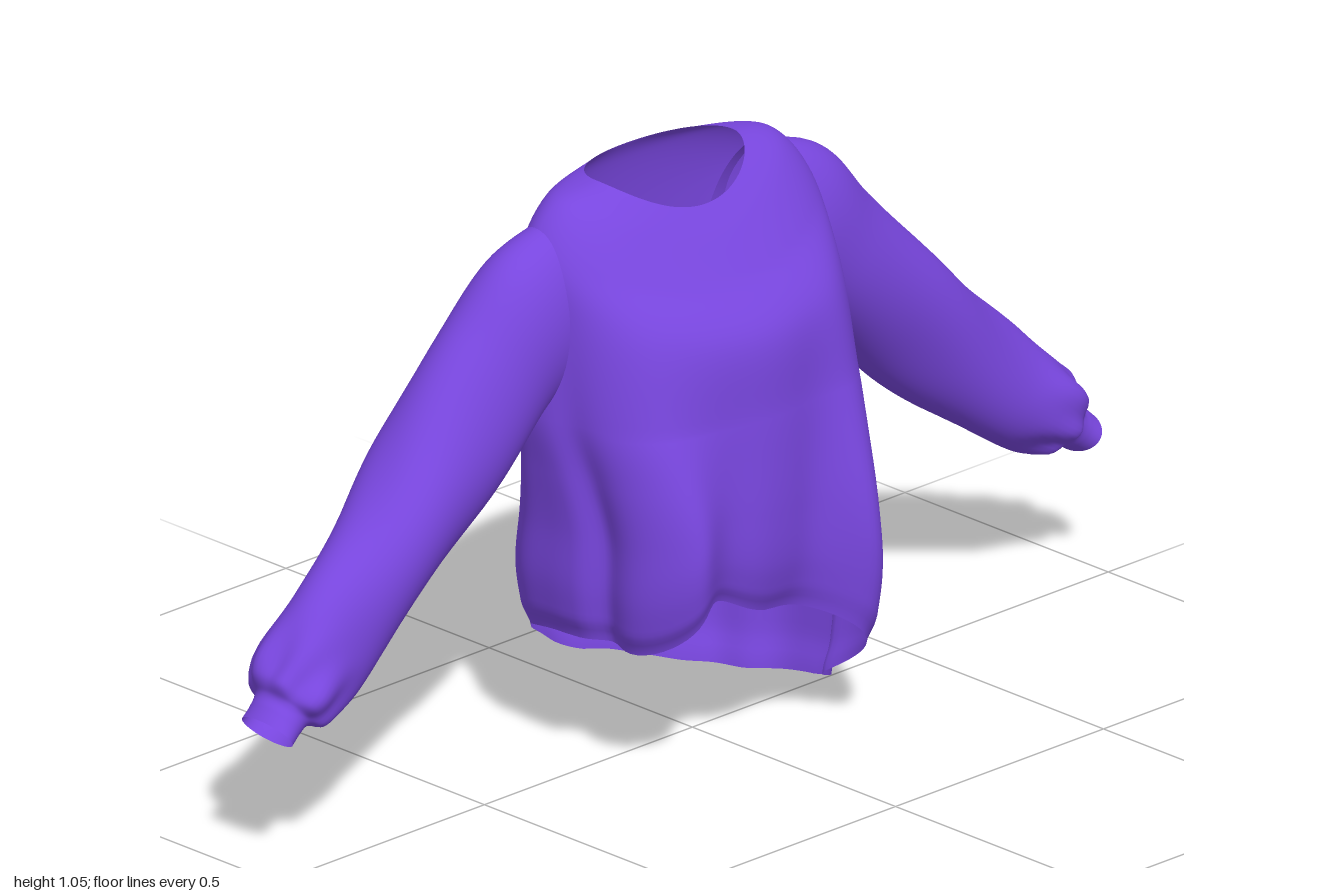
import * as THREE from 'three';

const fabric = new THREE.MeshStandardMaterial({ color: 0x7846de, side: THREE.DoubleSide });
const TAU = Math.PI * 2;
const { lerp, clamp, smoothstep } = THREE.MathUtils;

// Smooth interpolation through rows of numbers, t from 0 to 1
function sample(rows, t) {
  const f = clamp(t, 0, 1) * (rows.length - 1);
  const i = Math.min(Math.floor(f), rows.length - 2), k = f - i;
  const p0 = rows[Math.max(i - 1, 0)], p1 = rows[i], p2 = rows[i + 1], p3 = rows[Math.min(i + 2, rows.length - 1)];
  return p1.map((b, n) => {
    const a = p0[n], c = p2[n], d = p3[n];
    return b + 0.5 * k * (c - a + k * (2 * a - 5 * b + 4 * c - d + k * (3 * (b - c) + d - a)));
  });
}

// Soft bump around an angle (degrees)
function bump(angle, centre, width) {
  const d = angle - centre * TAU / 360;
  return Math.exp(-Math.pow(Math.atan2(Math.sin(d), Math.cos(d)) / (width * TAU / 360), 2));
}

// Open tube closed around u, running along v
function loft(point, around, along) {
  const pos = [], index = [];
  for (let j = 0; j <= along; j++)
    for (let i = 0; i < around; i++) pos.push(...point(i / around, j / along));
  for (let j = 0; j < along; j++)
    for (let i = 0; i < around; i++) {
      const n = (i + 1) % around, a = j * around + i, b = a + around, c = j * around + n, d = c + around;
      index.push(a, b, c, c, b, d);
    }
  const g = new THREE.BufferGeometry();
  g.setAttribute('position', new THREE.Float32BufferAttribute(pos, 3));
  g.setIndex(index);
  g.computeVertexNormals();
  return g;
}

// Body rows: half width, side y, side z, front y, front z, back y, back z
const bodyRows = [
  [0.165, 1.045, -0.07, 0.985, 0.035, 1.035, -0.17],
  [0.255, 1.025, -0.075, 0.945, 0.07, 1.0, -0.185],
  [0.315, 0.95, -0.075, 0.875, 0.125, 0.92, -0.197],
  [0.328, 0.84, -0.065, 0.785, 0.195, 0.8, -0.207],
  [0.335, 0.66, -0.04, 0.65, 0.208, 0.65, -0.22],
  [0.322, 0.5, -0.01, 0.5, 0.215, 0.5, -0.235],
  [0.31, 0.35, 0.01, 0.35, 0.22, 0.35, -0.25],
  [0.308, 0.2, 0.01, 0.2, 0.22, 0.2, -0.264],
  [0.295, 0.05, 0.01, 0.05, 0.205, 0.05, -0.25],
];
const UPPER = 0.5; // the row at the armpits

// Slanted hem height every 30 degrees, from the front towards the left
const hem = [0.28, 0.215, 0.075, 0.02, 0.0, 0.015, 0.075, 0.165, 0.225, 0.25, 0.25, 0.335, 0.28].map((y) => [y]);

function bodyPoint(u, v) {
  const a = u * TAU, s = Math.sin(a), c = Math.cos(a);
  const [w, ys, zs, yf, zf, yb, zb] = sample(bodyRows, v);
  const low = smoothstep(v, 0.25, 0.85), p = lerp(1, c > 0 ? 0.85 : 0.76, low);
  const bend = (q) => Math.sign(q) * Math.pow(Math.abs(q), p);
  let x = w * bend(s);
  let z = zs + Math.abs(bend(c)) * ((c > 0 ? zf : zb) - zs);
  let y = lerp(c > 0 ? yf : yb, ys, s * s);
  if (v > UPPER) {
    const armpit = bodyRows[4], t = (v - UPPER) / (1 - UPPER);
    y = lerp(lerp(armpit[3], armpit[1], s * s), sample(hem, u)[0], t);
  }
  // Drape: two front folds, hollows at the flanks, soft ripples
  z += low * (0.075 * bump(a, 36, 15) + 0.075 * bump(a, -44, 17));
  const ripple = low * (0.005 * Math.sin(7 * a + 1.2 + 2 * v) + 0.003 * Math.sin(13 * a + 3 * v));
  const hollow = low * (0.03 * bump(a, -76, 9) + 0.03 * bump(a, 66, 9) + 0.01 * bump(a, -118, 11));
  x += s * (ripple - hollow);
  z += c * (ripple - hollow);
  // Hem turns slightly inward
  const turn = 1 - 0.04 * smoothstep(v, 0.95, 1);
  return [x * turn, y, z * turn];
}

// Sleeve rows: centre x, y, z, radius in the sleeve plane, radius in depth
const sleeveRows = [
  [0.2, 0.885, -0.08, 0.125, 0.075],
  [0.3, 0.83, -0.08, 0.147, 0.096],
  [0.405, 0.748, -0.085, 0.122, 0.1],
  [0.55, 0.605, -0.085, 0.114, 0.1],
  [0.675, 0.49, -0.075, 0.104, 0.092],
  [0.79, 0.395, -0.07, 0.098, 0.087],
  [0.87, 0.335, -0.065, 0.09, 0.085],
  [0.918, 0.3, -0.06, 0.073, 0.078],
  [0.935, 0.287, -0.055, 0.045, 0.06],
  [0.953, 0.273, -0.052, 0.04, 0.056],
  [0.973, 0.257, -0.05, 0.037, 0.058],
];

function sleevePoint(u, v, side) {
  const a = -side * u * TAU;
  const [x, y, z, r, d] = sample(sleeveRows, v);
  const n0 = sample(sleeveRows, v - 0.03), n1 = sample(sleeveRows, v + 0.03);
  const tx = n1[0] - n0[0], ty = n1[1] - n0[1], len = Math.hypot(tx, ty);
  // Diagonal creases along the arm, gathers where the cuff begins
  const fade = smoothstep(v, 0.12, 0.3) * (1 - smoothstep(v, 0.65, 0.85));
  const crease = fade * (0.05 * Math.sin(2 * a + 17 * v + side) + 0.035 * Math.sin(3 * a - 23 * v));
  const gather = 0.07 * Math.sin(7 * a + 1.5 * side + 9 * v) * smoothstep(v, 0.52, 0.68) * (1 - smoothstep(v, 0.72, 0.82));
  const k = 1 + crease + gather;
  const up = Math.cos(a) * r * k;
  return [side * (x - ty / len * up), y + tx / len * up, z + Math.sin(a) * d * k];
}

export function createModel() {
  const group = new THREE.Group();
  group.name = 'sweater';
  const add = (name, geometry) => {
    const mesh = new THREE.Mesh(geometry, fabric);
    mesh.name = name;
    group.add(mesh);
  };
  add('body', loft(bodyPoint, 144, 80));
  for (const side of [1, -1])
    add(side > 0 ? 'leftSleeve' : 'rightSleeve', loft((u, v) => sleevePoint(u, v, side), 56, 90));
  return group;
}
